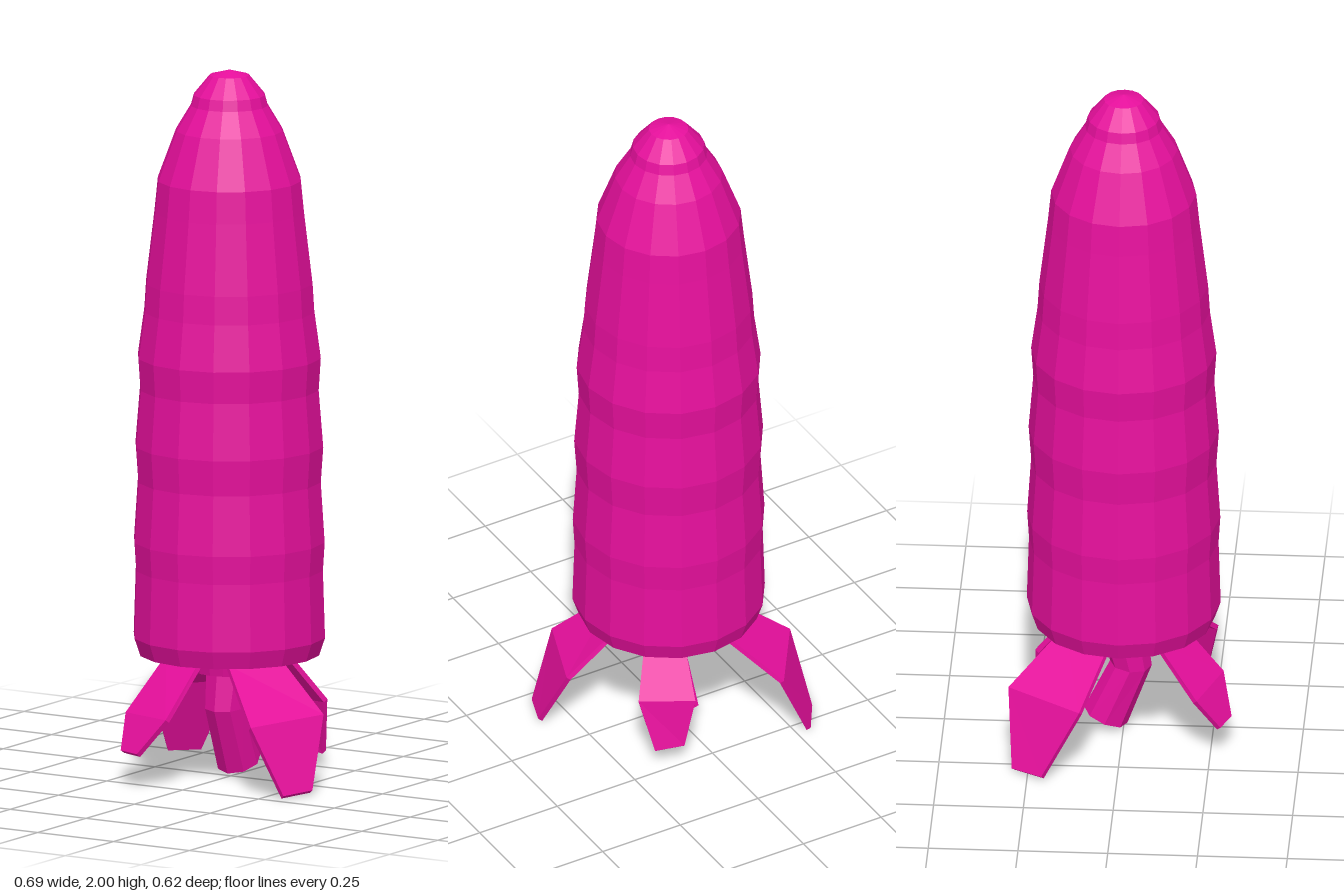
import * as THREE from 'three';

const material = new THREE.MeshStandardMaterial({ color: 0xe60f9c, flatShading: true });

function part(name, geometry) {
  const mesh = new THREE.Mesh(geometry, material);
  mesh.name = name;
  return mesh;
}

// Closed thin blade lofted through pairs of edge points [ax, ay, az, bx, by, bz]
function bladeGeometry(sections, thickness = 0.014) {
  const rings = sections.map(([ax, ay, az, bx, by, bz]) => {
    const a = new THREE.Vector3(ax, ay, az);
    const b = new THREE.Vector3(bx, by, bz);
    const inset = a.clone().add(b).setY(0).normalize().multiplyScalar(-thickness * 0.8);
    inset.y = -thickness * 0.6;
    return [a, b, b.clone().add(inset), a.clone().add(inset)];
  });
  const points = [];
  const quad = (a, b, c, d) => points.push(a, b, c, a, c, d);
  for (let i = 0; i < rings.length - 1; i++) {
    const p = rings[i], q = rings[i + 1];
    for (let j = 0; j < 4; j++) {
      const k = (j + 1) % 4;
      quad(p[j], q[j], q[k], p[k]);
    }
  }
  quad(...rings[0]);
  quad(...[...rings[rings.length - 1]].reverse());
  const geometry = new THREE.BufferGeometry().setFromPoints(points);
  geometry.computeVertexNormals();
  return geometry;
}

export function createModel() {
  const model = new THREE.Group();
  model.name = 'tieredFruit';

  // Body: stacked shallow tiers with a domed tip and a small collar below
  const profile = [
    [0, 0.3], [0.1, 0.3], [0.11, 0.35], [0.253, 0.35], [0.27, 0.4],
    [0.264, 0.59], [0.269, 0.67], [0.258, 0.84], [0.265, 0.94],
    [0.252, 1.1], [0.258, 1.19], [0.24, 1.32], [0.235, 1.4],
    [0.211, 1.6], [0.202, 1.69], [0.15, 1.83], [0.108, 1.9], [0.1, 1.93],
    [0.055, 1.985], [0, 2],
  ].map(([r, y]) => new THREE.Vector2(r, y));
  const body = part('body', new THREE.LatheGeometry(profile, 16));
  body.position.x = -0.005;
  model.add(body);

  // Leaves: neck, fold and tip sections, each an edge pair
  const leaves = {
    leafBackRight: [
      [-0.07, 0.345, -0.16, -0.16, 0.345, -0.03],
      [-0.195, 0.215, -0.31, -0.335, 0.215, -0.105],
      [-0.29, 0.01, -0.295, -0.345, 0.015, -0.21],
    ],
    leafFrontLeft: [
      [0.08, 0.345, 0.14, 0.16, 0.345, -0.01],
      [0.225, 0.2, 0.25, 0.315, 0.21, 0.015],
      [0.31, 0.01, 0.215, 0.345, 0.015, 0.12],
    ],
    leafFrontRight: [
      [-0.15, 0.345, 0.1, -0.01, 0.345, 0.15],
      [-0.21, 0.195, 0.215, -0.037, 0.2, 0.28],
      [-0.185, 0.1, 0.28, -0.115, 0.1, 0.307],
    ],
    leafBackLeft: [
      [0.13, 0.345, -0.1, 0.03, 0.345, -0.14],
      [0.2, 0.21, -0.185, 0.055, 0.2, -0.25],
      [0.17, 0.055, -0.225, 0.09, 0.06, -0.25],
    ],
  };
  for (const [name, sections] of Object.entries(leaves)) {
    // Root pair gathers the leaf under the collar
    const root = sections[0].map((v, i) => (i % 3 === 1 ? 0.32 : v * 0.35));
    model.add(part(name, bladeGeometry([root, ...sections])));
  }

  // Stem: eight-sided, kinked in the middle, with a slanted cut end
  const stem = new THREE.CylinderGeometry(1, 1, 2, 8, 2);
  const levels = [
    { y: 0.033, z: -0.05, r: 0.06, slope: -0.4 },
    { y: 0.2, z: 0.02, r: 0.058, slope: -0.1 },
    { y: 0.34, z: -0.01, r: 0.07, slope: 0 },
  ];
  const pos = stem.attributes.position;
  for (let i = 0; i < pos.count; i++) {
    const { y, z, r, slope } = levels[Math.round(pos.getY(i)) + 1];
    const dz = pos.getZ(i) * r;
    pos.setXYZ(i, pos.getX(i) * r - 0.005, y + dz * slope, z + dz);
  }
  stem.computeVertexNormals();
  model.add(part('stem', stem));

  return model;
}
